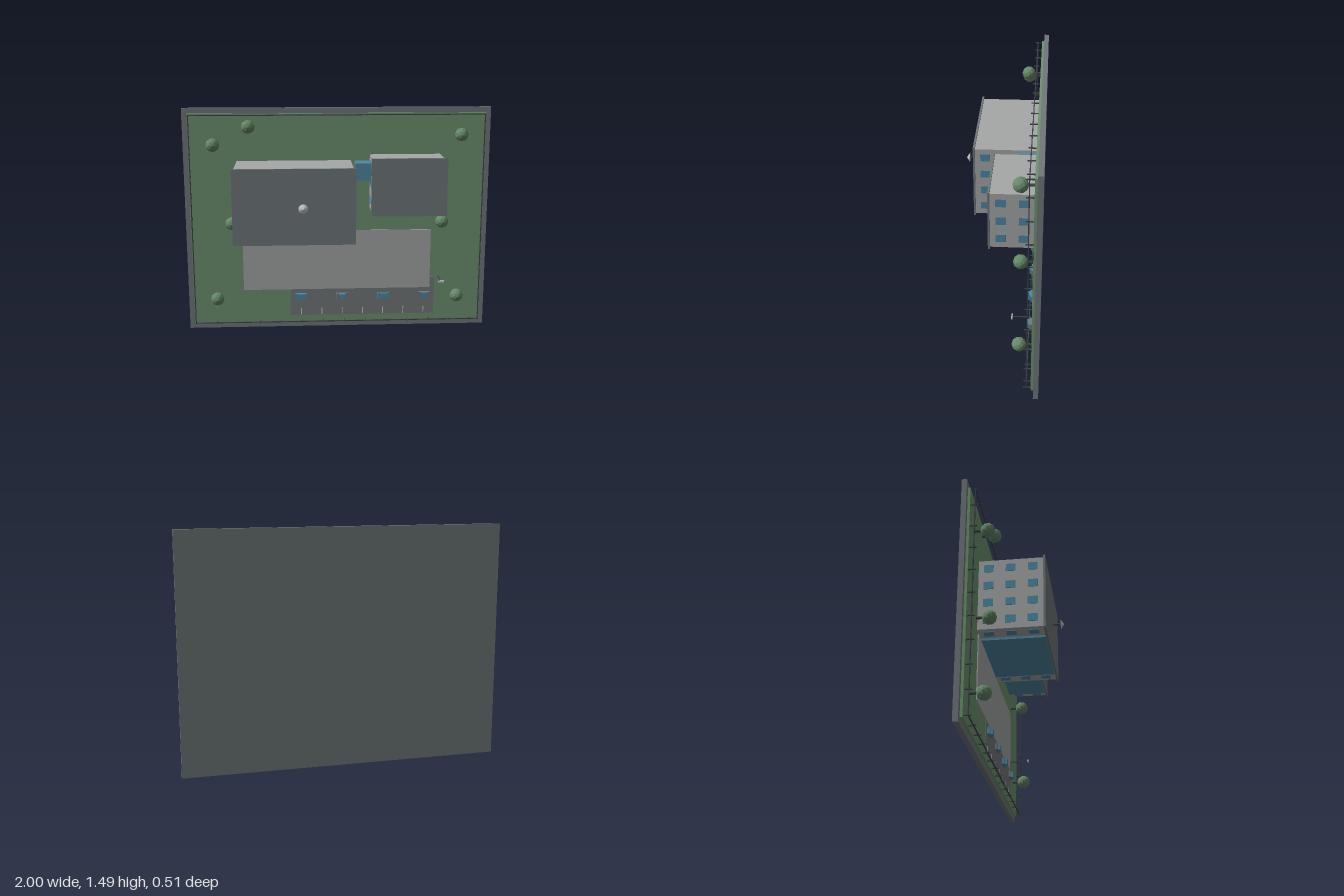
import * as THREE from 'three';

const mat = (name, color, extra = {}) => Object.assign(new THREE.MeshStandardMaterial({ color, ...extra }), { name });

export function createModel() {
  const slate = mat('slate', 0x70787b);
  const grass = mat('grass', 0x6f9470);
  const concrete = mat('concrete', 0xa6a8a8);
  const asphalt = mat('asphalt', 0x74797b);
  const glass = mat('glass', 0x4f88a3);
  const iron = mat('iron', 0x3c4345);
  const leaf = mat('leaf', 0x66896a, { flatShading: true });
  const pale = mat('pale', 0xc8caca, { side: THREE.DoubleSide });

  const model = new THREE.Group();
  model.name = 'campusPanel';
  const GROUND = -0.21;

  // Box given by its limits on each axis
  const box = (name, m, x0, x1, y0, y1, z0, z1, parent = model) => {
    const mesh = new THREE.Mesh(new THREE.BoxGeometry(x1 - x0, y1 - y0, z1 - z0), m);
    mesh.position.set((x0 + x1) / 2, (y0 + y1) / 2, (z0 + z1) / 2);
    mesh.name = name;
    parent.add(mesh);
    return mesh;
  };
  // Round post standing out of the panel along +z
  const post = (name, m, x, y, z0, z1, r, parent = model) => {
    const mesh = new THREE.Mesh(new THREE.CylinderGeometry(r, r, z1 - z0, 8), m);
    mesh.rotation.x = Math.PI / 2;
    mesh.position.set(x, y, (z0 + z1) / 2);
    mesh.name = name;
    parent.add(mesh);
  };
  const group = (name) => {
    const g = new THREE.Group();
    g.name = name;
    model.add(g);
    return g;
  };

  // Base, lawn and paved areas
  box('base', slate, -1, 1, 0, 1.485, -0.256, -0.225);
  box('lawn', grass, -0.966, 0.966, 0.036, 1.45, -0.225, GROUND);
  box('parking', asphalt, -0.32, 0.655, 0.085, 0.345, GROUND, -0.207);
  box('plaza', concrete, -0.63, 0.623, 0.27, 0.675, GROUND, -0.204);
  for (let i = 0; i < 7; i++) {
    const x = -0.245 + i * 0.138;
    box('bayLine', pale, x - 0.003, x + 0.003, 0.09, 0.135, -0.207, -0.2055);
  }

  // Building with overhanging roof, side windows and a glazed entrance wall
  const building = (name, x0, x1, y0, y1, top, rows, levels) => {
    const g = group(name);
    box('walls', concrete, x0, x1, y0, y1, GROUND, top, g);
    box('roof', slate, x0 - 0.01, x1 + 0.01, y0 - 0.01, y1 + 0.012, top, top + 0.012, g);
    const mid = (x0 + x1) / 2, half = (x1 - x0) * 0.35;
    box('glassWall', glass, mid - half, mid + half, y0 - 0.014, y0, GROUND, top - 0.002, g);
    for (const z of levels) {
      for (const y of rows) {
        for (const x of [x0, x1]) {
          box('sideWindow', glass, x - 0.004, x + 0.004, y - 0.024, y + 0.024, z - 0.029, z + 0.029, g);
        }
      }
      for (const s of [-1, 1]) {
        const x = mid + s * (half + (x1 - x0) * 0.075);
        box('frontWindow', glass, x - 0.025, x + 0.025, y0 - 0.004, y0 + 0.004, z - 0.029, z + 0.029, g);
      }
    }
  };
  building('mainBuilding', -0.655, 0.085, 0.69, 1.145, 0.172, [0.75, 0.863, 0.976, 1.09], [-0.15, -0.02, 0.11]);
  building('sideBuilding', 0.21, 0.67, 0.835, 1.182, 0.04, [0.895, 1.01, 1.125], [-0.15, -0.02]);
  box('glassLink', glass, 0.11, 0.21, 1.03, 1.142, GROUND, -0.09);

  // Rooftop dish on its mast
  const dish = group('dish');
  post('mast', iron, -0.23, 0.92, 0.184, 0.235, 0.005, dish);
  const bowl = new THREE.Mesh(new THREE.ConeGeometry(0.03, 0.02, 12, 1, true), pale);
  bowl.rotation.x = Math.PI / 2;
  bowl.position.set(-0.23, 0.92, 0.244);
  bowl.name = 'bowl';
  dish.add(bowl);

  // Trees
  const crownGeo = new THREE.IcosahedronGeometry(0.044, 1);
  const spots = [[-0.8, 0.235], [0.795, 0.235], [-0.8, 1.26], [0.795, 1.317],
    [-0.573, 1.375], [-0.69, 0.747], [0.682, 0.747]];
  for (const [x, y] of spots) {
    const tree = group('tree');
    post('trunk', iron, x, y, GROUND, -0.165, 0.008, tree);
    const crown = new THREE.Mesh(crownGeo, leaf);
    crown.rotation.x = Math.PI / 2;
    crown.position.set(x, y, -0.134);
    crown.name = 'crown';
    tree.add(crown);
  }

  // Parked cars
  for (let i = 0; i < 4; i++) {
    const x = -0.248 + i * 0.278, y = 0.22;
    const car = group('car');
    box('carBody', i % 2 ? slate : glass, x - 0.04, x + 0.04, y - 0.021, y + 0.021, -0.205, -0.188, car);
    box('carCabin', glass, x - 0.022, x + 0.022, y - 0.018, y + 0.018, -0.188, -0.174, car);
  }

  // Lamp beside the parking
  const lamp = group('lamp');
  post('lampPole', iron, 0.68, 0.347, GROUND, -0.088, 0.004, lamp);
  box('lampHead', pale, 0.66, 0.702, 0.341, 0.353, -0.091, -0.083, lamp);

  // Perimeter fence
  const fence = group('fence');
  const X = 0.955, Y0 = 0.048, Y1 = 1.442, t = 0.003;
  const fencePost = (x, y) => box('fencePost', iron, x - t, x + t, y - t, y + t, GROUND, -0.167, fence);
  for (const y of [Y0, Y1]) {
    box('rail', iron, -X, X, y - t, y + t, -0.186, -0.18, fence);
    for (let x = -X; x < X; x += 0.143) fencePost(x, y);
    fencePost(X, y);
  }
  for (const x of [-X, X]) {
    box('rail', iron, x - t, x + t, Y0, Y1, -0.186, -0.18, fence);
    for (let k = 1; k < 10; k++) fencePost(x, Y0 + k * 0.143);
  }

  return model;
}
